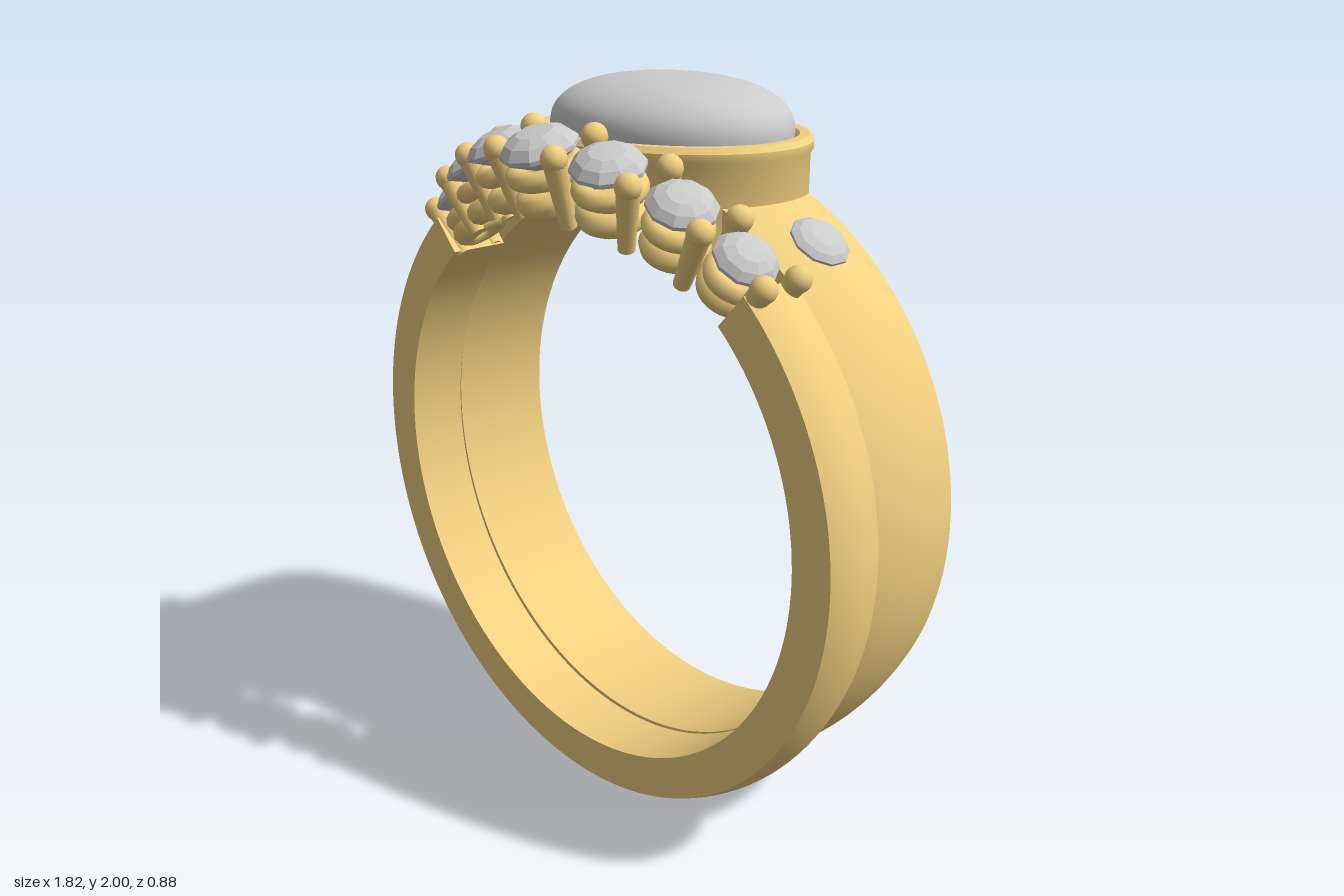
import * as THREE from 'three';
import { toCreasedNormals } from 'three/addons/utils/BufferGeometryUtils.js';

const gold = new THREE.MeshStandardMaterial({ color: 0xf2d080 });
const stone = new THREE.MeshStandardMaterial({ color: 0xcccccc });
const facet = new THREE.MeshStandardMaterial({ color: 0xcccccc, flatShading: true });
const deg = Math.PI / 180;
const HOLE = 0.775; // finger hole radius

function add(parent, name, geometry, material, x = 0, y = 0, z = 0) {
  const mesh = new THREE.Mesh(geometry, material);
  mesh.name = name;
  mesh.position.set(x, y, z);
  parent.add(mesh);
  return mesh;
}

// Surface from rows of points, with sharp edges kept
function loft(rows, crease = 0.6) {
  const n = rows[0].length, index = [];
  for (let i = 0; i < rows.length - 1; i++) {
    for (let j = 0; j < n - 1; j++) {
      const a = i * n + j, b = a + n;
      index.push(a, b, b + 1, a, b + 1, a + 1);
    }
  }
  const g = new THREE.BufferGeometry();
  g.setAttribute('position', new THREE.Float32BufferAttribute(rows.flat(2), 3));
  g.setIndex(index);
  return toCreasedNormals(g, crease);
}

// Open band with a domed outside; gap(r, z) gives the half angle left open at the top
function bandGeometry(cy, inner, edge, bulge, z0, z1, gap) {
  const profile = [];
  for (let k = 0; k <= 10; k++) {
    const t = k / 5 - 1;
    profile.push([edge + bulge * (1 - t * t), z1 + (z0 - z1) * k / 10]);
  }
  for (let k = 0; k <= 10; k++) profile.push([inner, z0 + (z1 - z0) * k / 10]);
  profile.push(profile[0]);
  const at = (r, z, a) => [r * Math.sin(a), cy + r * Math.cos(a), z];
  const row = t => profile.map(([r, z]) => {
    const g = gap(r, z);
    return at(r, z, g + t * (2 * Math.PI - 2 * g));
  });
  const rm = (inner + edge) / 2, zm = (z0 + z1) / 2, gm = gap(rm, zm);
  const cap = a => profile.map(() => at(rm, zm, a));
  const rows = [cap(gm)];
  for (let i = 0; i <= 120; i++) rows.push(row(i / 120));
  rows.push(cap(2 * Math.PI - gm));
  return loft(rows);
}

// Oval bezel whose underside follows the finger hole
function bezelGeometry(cy, zc) {
  const profile = [[0.008, null], [0.008, 1.81], [0, 1.825], [0, 1.845], [0.012, 1.86], [0.038, 1.86],
    [0.052, 1.845], [0.055, 1.8], [0.08, 1.78], [0.08, null], [0.008, null]];
  const rows = [];
  for (let i = 0; i <= 80; i++) {
    const a = i / 80 * Math.PI * 2;
    rows.push(profile.map(([d, y]) => {
      const x = (0.412 - d) * Math.cos(a);
      return [x, y ?? cy + Math.sqrt(HOLE * HOLE - x * x), zc - (0.335 - d) * Math.sin(a)];
    }));
  }
  return loft(rows);
}

// Smooth domed oval stone
function cabochonGeometry() {
  const pts = [new THREE.Vector2(0, -0.07), new THREE.Vector2(0.98, -0.07)];
  for (let i = 0; i <= 20; i++) {
    const a = i / 20 * Math.PI / 2, e = 2 / 2.4;
    pts.push(new THREE.Vector2(i === 20 ? 0 : Math.cos(a) ** e, 0.14 * Math.sin(a) ** e));
  }
  const g = new THREE.LatheGeometry(pts, 64);
  g.scale(0.362, 1, 0.285);
  return toCreasedNormals(g, 0.7);
}

// Faceted stone of unit radius: pavilion, girdle, crown and table
const gemGeometry = new THREE.LatheGeometry(
  [[0, -0.65], [0.55, -0.35], [1, -0.08], [1, 0.03], [0.8, 0.25], [0.48, 0.4], [0, 0.43]]
    .map(([x, y]) => new THREE.Vector2(x, y)), 10);

// Local frame on the ring: +y points outward at angle a from the top, leaning forward by tilt
function mount(parent, name, cy, a, r, z, tilt) {
  const g = new THREE.Group();
  g.name = name;
  g.position.set(r * Math.sin(a * deg), cy + r * Math.cos(a * deg), z);
  g.rotation.set(tilt * deg, 0, -a * deg, 'ZXY');
  parent.add(g);
  return g;
}

export function createModel() {
  const model = new THREE.Group();
  model.name = 'ringPair';
  const backY = 0.92, frontY = 0.91, zc = -0.115;

  // Wide band, ending inside the bezel wall
  const wideGap = (r, z) => Math.asin(0.37 * Math.sqrt(1 - ((z - zc) / 0.3) ** 2) / r);
  add(model, 'wideBand', bandGeometry(backY, 0.782, 0.866, 0.025, -0.275, 0.047, wideGap), gold);
  add(model, 'bezel', bezelGeometry(0.905, zc), gold);
  add(model, 'centreStone', cabochonGeometry(), stone, 0, 1.86, zc);

  // Narrow band, ending at the row of stones
  add(model, 'narrowBand', bandGeometry(frontY, HOLE, 0.892, 0.02, 0.055, 0.232, () => 42 * deg), gold);

  for (const s of [-1, 1]) {
    // Oval stones set flush in the wide band
    const shoulder = mount(model, 'shoulderStone', backY, s * 36.5, 0.892, zc, 0);
    add(shoulder, 'shoulderGem', gemGeometry, facet).scale.set(0.08, 0.06, 0.085);
  }

  // Row of round stones, each on two rails: [angle, radius, z, tilt, size]
  const seats = [[0, 0.945, 0.335, 19, 0.102], [12.6, 0.942, 0.292, 17, 0.096],
    [25.2, 0.932, 0.232, 13, 0.09], [36.8, 0.915, 0.172, 7, 0.084]];
  for (const [a, r, z, tilt, size] of seats) {
    for (const s of a ? [-1, 1] : [1]) {
      const seat = mount(model, 'stoneSeat', frontY, s * a, r, z, tilt);
      add(seat, 'roundStone', gemGeometry, facet).scale.setScalar(size);
      const upper = new THREE.TorusGeometry(size - 0.026, 0.027, 10, 28).rotateX(Math.PI / 2);
      add(seat, 'upperRail', upper, gold, 0, -0.06, 0);
      const lower = new THREE.TorusGeometry(size * 0.62, 0.034, 10, 28).rotateX(Math.PI / 2);
      add(seat, 'lowerRail', lower, gold, 0, 0.812 - r, 0);
    }
  }

  // Pairs of ball-tipped prongs between the stones: [angle, radius, z, tilt, half spacing]
  const prongs = [[6.8, 0.96, 0.318, 19, 0.066], [19.3, 0.955, 0.262, 15, 0.064],
    [31.5, 0.945, 0.205, 10, 0.061], [43, 0.935, 0.15, 5, 0.056]];
  const ball = new THREE.SphereGeometry(0.034, 16, 12);
  for (const [a, r, z, tilt, half] of prongs) {
    const length = r - HOLE;
    const post = new THREE.CylinderGeometry(0.031, 0.022, length, 14).translate(0, -length / 2, 0);
    for (const s of [-1, 1]) {
      const pair = mount(model, 'prongPair', frontY, s * a, r, z, tilt);
      for (const side of [-1, 1]) {
        add(pair, 'prong', post, gold, 0, 0, side * half);
        add(pair, 'prongTip', ball, gold, 0, 0, side * half);
      }
    }
  }
  return model;
}
